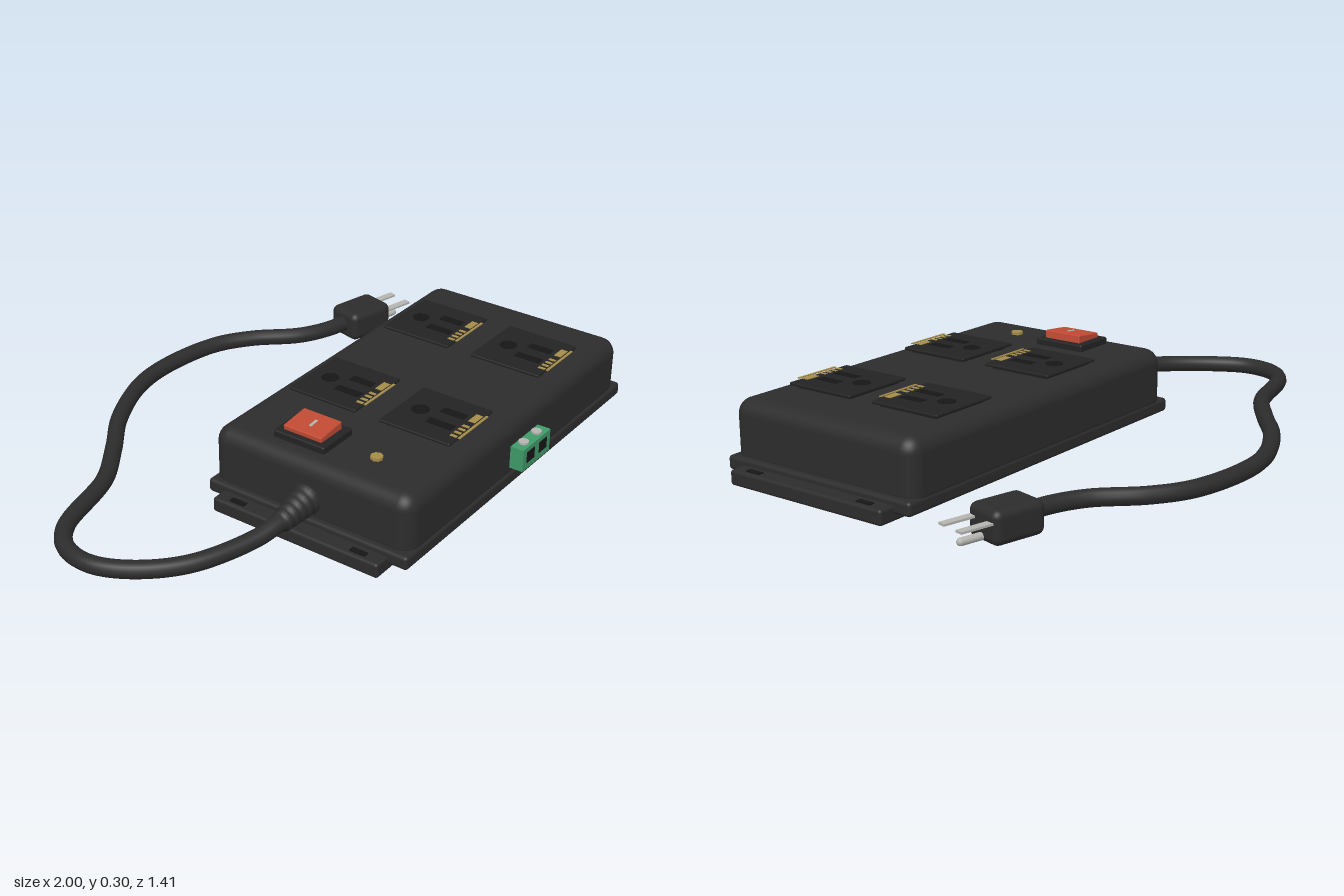
import * as THREE from 'three';
import { RoundedBoxGeometry } from 'three/addons/geometries/RoundedBoxGeometry.js';

const paint = (name, color) => {
  const m = new THREE.MeshStandardMaterial({ color });
  m.name = name;
  return m;
};

export function createModel() {
  const black = paint('black plastic', 0x2c2c2c);
  const dark = paint('dark plastic', 0x232323);
  const hole = paint('opening black', 0x161616);
  const red = paint('switch red', 0xc04a34);
  const green = paint('terminal green', 0x3f9a68);
  const gold = paint('label gold', 0xa48c48);
  const metal = paint('metal', 0xb4b4b0);

  const model = new THREE.Group();
  const add = (name, geo, mat, x, y, z, parent = model) => {
    const m = new THREE.Mesh(geo, mat);
    m.name = name;
    m.position.set(x, y, z);
    parent.add(m);
    return m;
  };
  const box = (w, h, d) => new THREE.BoxGeometry(w, h, d);
  const round = (w, h, d, r) => new RoundedBoxGeometry(w, h, d, 4, r);
  const disc = (r, h, n = 24) => new THREE.CylinderGeometry(r, r, h, n);
  const group = (name, x, y, z) => {
    const g = new THREE.Group();
    g.name = name;
    g.position.set(x, y, z);
    model.add(g);
    return g;
  };

  // Housing: rounded shell on a wider base rim
  add('housing', round(1.28, 0.225, 0.733, 0.052), black, 0.24, 0.1375, 0.288);
  add('baseRim', round(1.32, 0.046, 0.742, 0.012), black, 0.24, 0.047, 0.29);

  // Mounting strips at both ends, with screw slots
  for (const s of [-1, 1]) {
    const strip = group('mountingStrip', 0.24 + s * 0.655, 0, 0.2875);
    add('strip', round(0.12, 0.05, 0.615, 0.01), black, 0, 0.026, 0, strip);
    for (const e of [-1, 1])
      add('screwSlot', box(0.02, 0.005, 0.055), hole, s * 0.035, 0.052, e * 0.225, strip);
  }

  // Four outlets with slots, ground hole and gold label marks
  for (const x of [0.04, 0.573]) for (const z of [0.112, 0.457]) {
    const o = group('outlet', x, 0.25, z);
    add('outletBase', box(0.22, 0.014, 0.22), dark, 0, 0.005, 0, o);
    add('outletPlate', round(0.255, 0.01, 0.256, 0.004), dark, 0, 0.014, 0, o);
    add('groundHole', disc(0.029, 0.002), hole, 0, 0.0193, -0.058, o);
    for (const s of [-1, 1])
      add('bladeSlot', box(0.032, 0.002, s < 0 ? 0.092 : 0.084), hole, s * 0.039, 0.0193, 0.041, o);
    add('labelUnderline', box(0.165, 0.003, 0.008), gold, 0, 0.0205, 0.134, o);
    for (let i = 0; i < 4; i++)
      add('labelMark', box(0.011, 0.002, 0.024), gold, -0.076 + i * 0.023, 0.0198, 0.112, o);
    add('labelBlock', box(0.05, 0.002, 0.024), gold, 0.05, 0.0198, 0.112, o);
  }

  // Rocker switch, tilted in its frame
  const sw = group('rockerSwitch', -0.259, 0.25, 0.205);
  add('switchFrame', round(0.15, 0.03, 0.19, 0.006), dark, 0, 0.008, 0, sw);
  const rocker = add('rocker', round(0.108, 0.034, 0.142, 0.004), red, 0, 0.027, 0, sw);
  rocker.rotation.z = 0.1;
  add('rockerMark', box(0.036, 0.003, 0.009), metal, 0, 0.0175, 0.004, rocker);

  // Indicator lamp
  add('indicatorLamp', disc(0.02, 0.014, 8), gold, -0.255, 0.253, 0.438);

  // Two-way screw terminal on the front wall
  const term = group('terminalBlock', 0.251, 0.126, 0.675);
  add('terminalBody', box(0.168, 0.077, 0.052), green, 0, 0, 0, term);
  for (const s of [-1, 1]) {
    add('wireOpening', box(0.046, 0.038, 0.006), hole, s * 0.038, 0.003, 0.025, term);
    add('terminalScrew', disc(0.017, 0.012, 16), metal, s * 0.04, 0.039, 0, term);
  }

  // Stepped strain relief tapering towards the cord
  const profile = [[0, 0], [0.05, 0]];
  for (let i = 0; i < 5; i++) {
    const r = 0.052 - i * 0.004, y = i * 0.028;
    profile.push([r, y], [r - 0.002, y + 0.018], [r - 0.013, y + 0.019], [r - 0.013, y + 0.028]);
  }
  profile.push([0, 0.14]);
  const reliefGeo = new THREE.LatheGeometry(profile.map(p => new THREE.Vector2(...p)), 24);
  const relief = add('strainRelief', reliefGeo, black, -0.395, 0.124, 0.284);
  relief.rotation.z = Math.PI / 2 + 0.14;

  // Power cord lying in a loop behind the housing
  const path = [
    [-0.46, 0.116, 0.284], [-0.53, 0.103, 0.278], [-0.61, 0.085, 0.258], [-0.8, 0.066, 0.17],
    [-0.92, 0.06, 0.045], [-0.971, 0.06, -0.075], [-0.95, 0.06, -0.185], [-0.87, 0.06, -0.262],
    [-0.61, 0.06, -0.345], [-0.45, 0.06, -0.45], [-0.29, 0.06, -0.568], [-0.08, 0.06, -0.662],
    [0.085, 0.06, -0.68], [0.3, 0.06, -0.643], [0.42, 0.06, -0.568], [0.54, 0.06, -0.445],
    [0.64, 0.06, -0.392], [0.75, 0.06, -0.365],
  ];
  const curve = new THREE.CatmullRomCurve3(path.map(p => new THREE.Vector3(...p)));
  add('powerCord', new THREE.TubeGeometry(curve, 140, 0.028, 14), black, 0, 0, 0);

  // Three-pin plug
  const plug = group('plug', 0.8, 0.058, -0.353);
  plug.rotation.y = -0.24;
  add('plugBody', round(0.18, 0.106, 0.135, 0.025), black, 0, 0, 0, plug);
  for (const s of [-1, 1])
    add('plugBlade', box(0.125, 0.007, 0.026), metal, 0.133, 0.016, s * 0.04, plug);
  const pin = add('groundPin', new THREE.CapsuleGeometry(0.012, 0.085, 4, 12), metal, 0.118, -0.032, 0, plug);
  pin.rotation.z = Math.PI / 2;

  return model;
}
